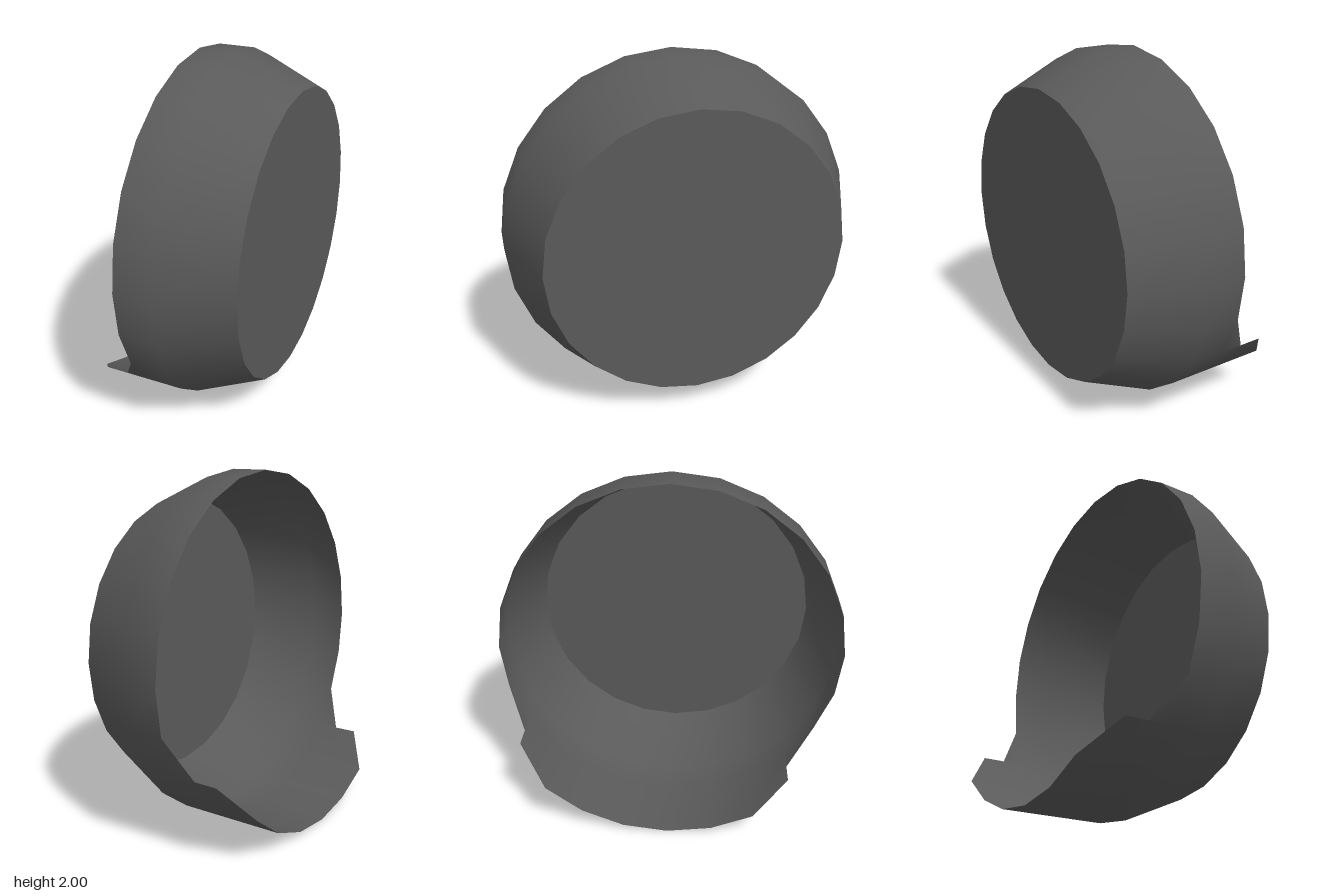
import * as THREE from 'three';
import { mergeVertices } from 'three/addons/utils/BufferGeometryUtils.js';

const SIDES = 24;
const RIM = -0.1, SHOULDER = 0.113, CAP = 0.495, CAP_RADIUS = 0.833;

// Point on the shell: step 0 is the bottom, positive steps turn towards +z
function ringPoint(step, x, radius = 1) {
  const a = (step * Math.PI * 2) / SIDES;
  return [x, 1 - radius * Math.cos(a), radius * Math.sin(a)];
}

// Drum wall, tapered shoulder and stepped lip as one smooth skin
function shellGeometry() {
  const positions = [];
  const tri = (a, b, c) => positions.push(...a, ...b, ...c);
  const quad = (a, b, c, d) => { tri(a, b, c); tri(a, c, d); };

  for (let i = 0; i < SIDES; i++) {
    const j = (i + 1) % SIDES;
    quad(ringPoint(i, RIM), ringPoint(i, SHOULDER), ringPoint(j, SHOULDER), ringPoint(j, RIM));
    quad(ringPoint(i, SHOULDER), ringPoint(i, CAP, CAP_RADIUS), ringPoint(j, CAP, CAP_RADIUS), ringPoint(j, SHOULDER));
  }

  // Lip: outer edge at the start and end of each facet
  const lip = [[RIM, -0.225], [-0.355, -0.5], [-0.5, -0.5], [-0.5, -0.5], [-0.5, -0.5],
    [-0.5, -0.5], [-0.5, -0.5], [-0.5, -0.355], [-0.225, RIM]];
  lip.forEach(([x0, x1], k) => {
    const i = (k - 5 + SIDES) % SIDES, j = (i + 1) % SIDES;
    const a = ringPoint(i, x0), b = ringPoint(i, RIM), c = ringPoint(j, RIM), d = ringPoint(j, x1);
    if (x0 !== RIM) tri(a, b, c);
    if (x1 !== RIM) tri(a, c, d);
  });

  const geometry = new THREE.BufferGeometry();
  geometry.setAttribute('position', new THREE.Float32BufferAttribute(positions, 3));
  const merged = mergeVertices(geometry, 1e-4);
  merged.computeVertexNormals();
  return merged;
}

export function createModel() {
  const group = new THREE.Group();
  group.name = 'openDrum';
  const darkGrey = new THREE.MeshStandardMaterial({ color: 0x5a5a5a, side: THREE.DoubleSide });
  darkGrey.name = 'darkGrey';

  const shell = new THREE.Mesh(shellGeometry(), darkGrey);
  shell.name = 'shellWithLip';
  group.add(shell);

  // Flat closed end
  const cap = new THREE.Mesh(new THREE.CircleGeometry(CAP_RADIUS, SIDES), darkGrey);
  cap.name = 'endCap';
  cap.rotation.y = Math.PI / 2;
  cap.position.set(CAP, 1, 0);
  group.add(cap);

  // Whole drum is turned very slightly
  group.rotation.y = -0.0115;
  return group;
}
